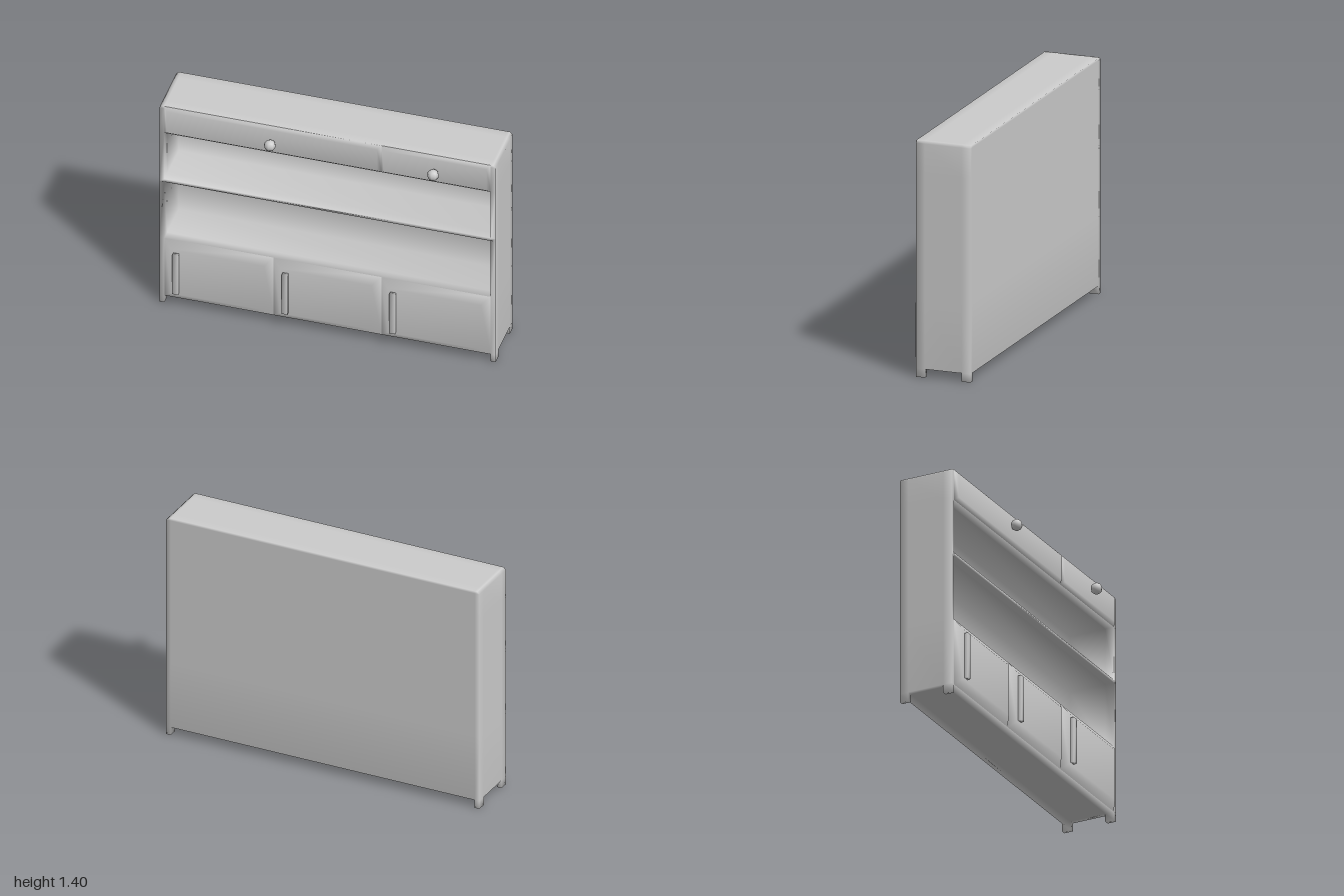
import * as THREE from 'three';
import { mergeVertices } from 'three/addons/utils/BufferGeometryUtils.js';

const material = new THREE.MeshStandardMaterial({ color: 0xcccccc });

function addMesh(parent, name, geometry, x = 0, y = 0, z = 0) {
  const mesh = new THREE.Mesh(geometry, material);
  mesh.name = name;
  mesh.position.set(x, y, z);
  parent.add(mesh);
  return mesh;
}

function indexed(positions, index) {
  const g = new THREE.BufferGeometry();
  g.setAttribute('position', new THREE.Float32BufferAttribute(positions, 3));
  g.setIndex(index);
  g.computeVertexNormals();
  return g;
}

// Share corners so the shading runs smoothly over the edges
function smooth(geometry) {
  geometry.deleteAttribute('normal');
  geometry.deleteAttribute('uv');
  const g = mergeVertices(geometry);
  g.computeVertexNormals();
  return g;
}

// Skin of a block grid: loops give the cuts on x, y, z; solid(i, j, k) says which cells are filled
function blockSkin(loops, solid, adjust) {
  const positions = [], index = [], ids = new Map();
  const vertex = (c) => {
    const key = c.join();
    if (!ids.has(key)) {
      ids.set(key, positions.length / 3);
      positions.push(...adjust(c.map((n, a) => loops[a][n])));
    }
    return ids.get(key);
  };
  const filled = (c) => c.every((n, a) => n >= 0 && n < loops[a].length - 1) && solid(...c);
  for (let i = 0; i < loops[0].length - 1; i++)
    for (let j = 0; j < loops[1].length - 1; j++)
      for (let k = 0; k < loops[2].length - 1; k++) {
        const cell = [i, j, k];
        if (!filled(cell)) continue;
        for (let a = 0; a < 3; a++)
          for (const side of [0, 1]) {
            const next = [...cell];
            next[a] += side ? 1 : -1;
            if (filled(next)) continue;
            const u = (a + 1) % 3, v = (a + 2) % 3;
            const q = [[0, 0], [1, 0], [1, 1], [0, 1]].map(([du, dv]) => {
              const c = [...cell];
              c[a] += side; c[u] += du; c[v] += dv;
              return vertex(c);
            });
            if (!side) q.reverse();
            index.push(q[0], q[1], q[2], q[0], q[2], q[3]);
          }
      }
  return indexed(positions, index);
}

// Raised panel with sloping borders, open at the back
function raisedPanel(x0, x1, y0, y1, z0, z1, bevel) {
  const ring = (b, z) => [x0 + b, y0 + b, z, x1 - b, y0 + b, z, x1 - b, y1 - b, z, x0 + b, y1 - b, z];
  const index = [4, 5, 6, 4, 6, 7];
  for (let i = 0; i < 4; i++) {
    const n = (i + 1) % 4;
    index.push(i, n, n + 4, i, n + 4, i + 4);
  }
  return indexed([...ring(0, z0), ...ring(bevel, z1)], index);
}

export function createModel() {
  const model = new THREE.Group();
  model.name = 'sideboard';
  const front = 0.12;

  // Carcass: four corner feet and two open shelf niches
  const loops = [
    [-1, -0.97, 0.97, 1],
    [0, 0.05, 0.46, 0.86, 0.88, 1.21, 1.385, 1.4],
    [-0.215, -0.16, 0.065, front],
  ];
  const solid = (i, j, k) => {
    if (j === 0) return i !== 1 && k !== 1;
    const niche = i === 1 && k > 0 && (j === 2 || j === 4);
    return !niche;
  };
  // Cut the top side edges slightly
  const chamferTop = ([x, y, z]) => [y === 1.4 && Math.abs(x) === 1 ? x * 0.985 : x, y, z];
  addMesh(model, 'carcass', blockSkin(loops, solid, chamferTop));

  // Three doors with upright handles
  const doorEdges = [-0.97, -0.32, 0.32, 0.97];
  const handleX = [-0.89, -0.24, 0.4];
  for (let i = 0; i < 3; i++) {
    const door = new THREE.Group();
    door.name = `door${i + 1}`;
    addMesh(door, 'doorPanel', raisedPanel(doorEdges[i], doorEdges[i + 1], 0.05, 0.46, front, 0.153, 0.048));
    addMesh(door, 'doorHandle', smooth(new THREE.BoxGeometry(0.034, 0.28, 0.035)), handleX[i], 0.252, 0.1575);
    model.add(door);
  }

  // One wide and one narrow drawer, each with a round knob
  for (const [name, x0, x1] of [['wideDrawer', -0.97, 0.32], ['narrowDrawer', 0.32, 0.97]]) {
    const drawer = new THREE.Group();
    drawer.name = name;
    addMesh(drawer, 'drawerPanel', raisedPanel(x0, x1, 1.21, 1.4, front, 0.14, 0.02));
    addMesh(drawer, 'drawerKnob', new THREE.SphereGeometry(0.034, 8, 8), (x0 + x1) / 2, 1.305, 0.181);
    model.add(drawer);
  }

  return model;
}
